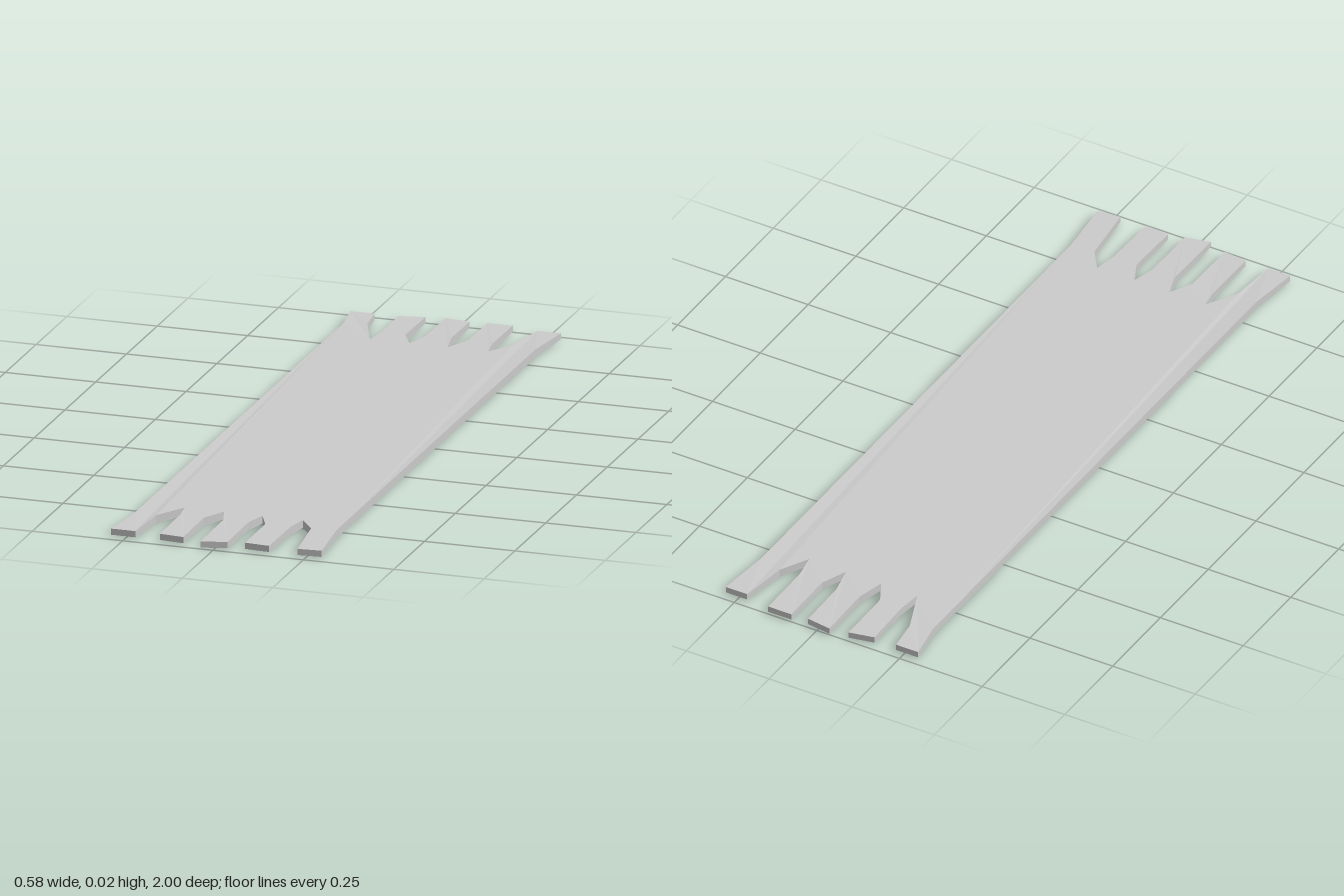
import * as THREE from 'three';

const HEIGHT = 0.022;

// Outline of each fringed end as [x, z], running from -x to +x
const frontEnd = [
  [-0.275, 0.82], [-0.292, 0.97], [-0.225, 0.97], [-0.215, 0.83], [-0.165, 0.745],
  [-0.157, 0.8], [-0.157, 0.97], [-0.09, 0.977], [-0.09, 0.81], [-0.056, 0.745],
  [-0.036, 0.81], [-0.036, 0.997], [0.033, 0.98], [0.033, 0.81], [0.05, 0.745],
  [0.08, 0.81], [0.078, 0.97], [0.147, 0.975], [0.15, 0.81], [0.162, 0.745],
  [0.205, 0.805], [0.225, 0.975], [0.29, 0.97], [0.273, 0.8],
];
const backEnd = [
  [-0.275, -0.87], [-0.292, -0.975], [-0.225, -0.975], [-0.215, -0.885], [-0.165, -0.76],
  [-0.157, -0.83], [-0.16, -0.975], [-0.09, -0.99], [-0.09, -0.825], [-0.056, -0.76],
  [-0.036, -0.84], [-0.038, -1], [0.032, -0.99], [0.033, -0.84], [0.05, -0.76],
  [0.08, -0.835], [0.08, -0.995], [0.15, -0.995], [0.15, -0.83], [0.162, -0.76],
  [0.205, -0.84], [0.225, -0.975], [0.29, -0.975], [0.273, -0.82],
];

export function createModel() {
  const group = new THREE.Group();
  group.name = 'fringedRug';

  // Flat woven sheet with five tassels cut into each end
  const outline = [...frontEnd, ...backEnd.slice().reverse()];
  const shape = new THREE.Shape(outline.map(([x, z]) => new THREE.Vector2(x, -z)));
  const geometry = new THREE.ExtrudeGeometry(shape, { depth: HEIGHT, bevelEnabled: false });
  geometry.rotateX(-Math.PI / 2);

  // Tassel tips are slightly thinner than the body
  const pos = geometry.attributes.position;
  for (let i = 0; i < pos.count; i++) {
    if (Math.abs(pos.getZ(i)) > 0.92) {
      pos.setY(i, pos.getY(i) > HEIGHT / 2 ? HEIGHT - 0.002 : 0.003);
    }
  }
  geometry.computeVertexNormals();

  const rug = new THREE.Mesh(
    geometry,
    new THREE.MeshStandardMaterial({ color: 0xcccccc, flatShading: true })
  );
  rug.name = 'rug';
  group.add(rug);
  return group;
}
